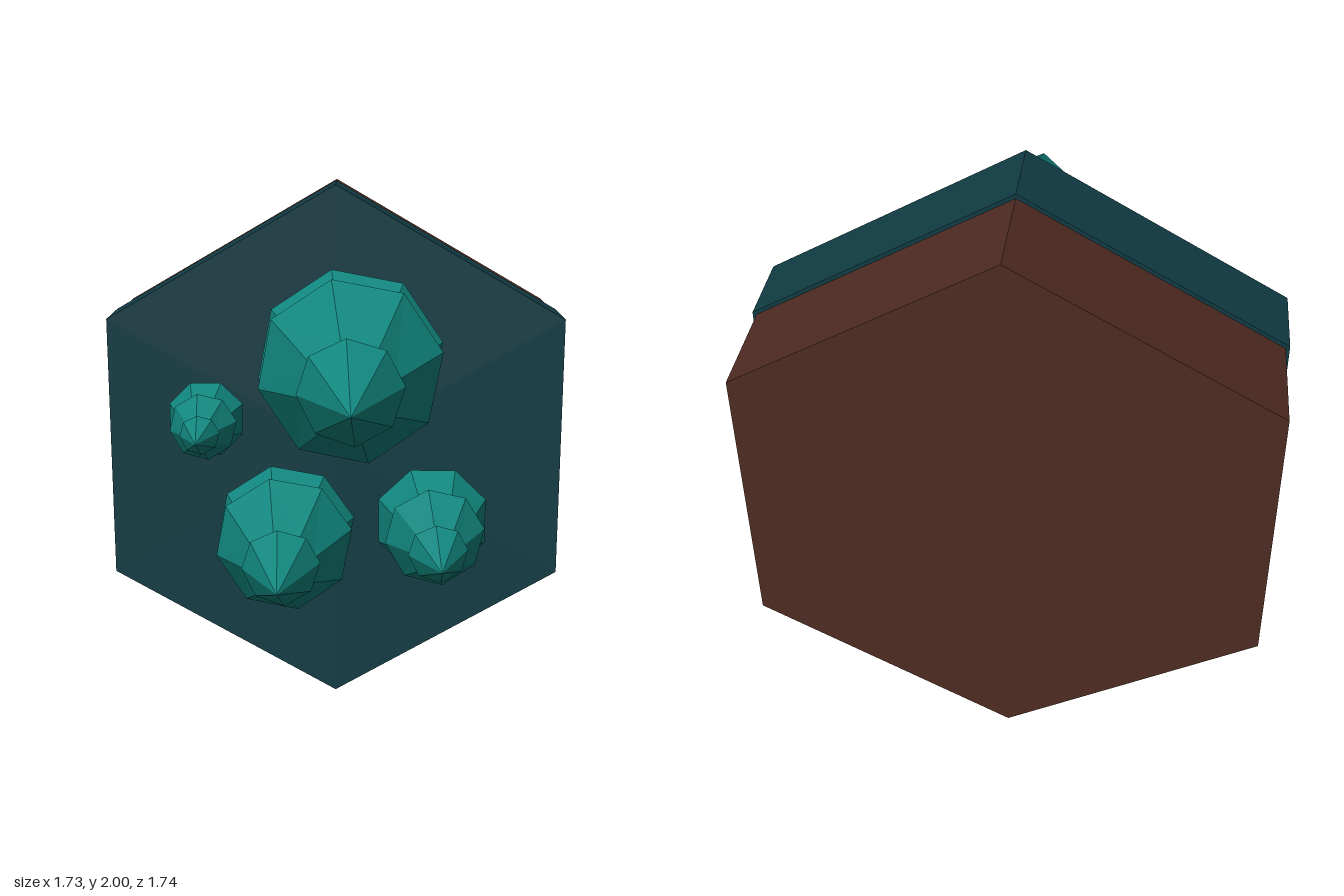
import * as THREE from 'three';

const foliage = new THREE.MeshStandardMaterial({ color: 0x11877f });
const turf = new THREE.MeshStandardMaterial({ color: 0x103c44 });
const bark = new THREE.MeshStandardMaterial({ color: 0x4e2b22 });
foliage.name = 'foliage teal';
turf.name = 'turf dark teal';
bark.name = 'earth brown';

// Faceted mesh: every triangle gets its own normal
function facet(name, geometry, material) {
  const g = geometry.toNonIndexed();
  g.computeVertexNormals();
  const mesh = new THREE.Mesh(g, material);
  mesh.name = name;
  return mesh;
}

// Tiers for a tree of height 1, tip first: rim radius, rim height, lip radius, lip height
const BROAD = [[0.165, 0.655, 0.142, 0.628], [0.303, 0.335, 0.25, 0.285], [0.313, 0.155, 0.28, 0.105]];
const SLIM = [[0.152, 0.69, 0.118, 0.66], [0.262, 0.41, 0.215, 0.375], [0.312, 0.13, 0.27, 0.085]];

// Eight-sided skirt with a bevelled lip, a hollowed underside and a gently warped rim
function tier([r, h, lipR, lipH], startR, startH, turn) {
  const profile = [[0.04, lipH + 0.03], [lipR, lipH], [r, h], [startR, startH]];
  const g = new THREE.LatheGeometry(profile.map(([x, y]) => new THREE.Vector2(x, y)), 8);
  g.rotateY(turn);
  const p = g.attributes.position;
  for (let i = 0; i < p.count; i++) {
    const x = p.getX(i), z = p.getZ(i);
    if (Math.hypot(x, z) > 0.1) p.setY(i, p.getY(i) + 0.018 * Math.cos(2 * Math.atan2(x, z)));
  }
  return facet('foliageTier', g, foliage);
}

function tree(name, x, y, height, tiers, turns) {
  const group = new THREE.Group();
  group.name = name;
  const trunk = facet('trunk', new THREE.CylinderGeometry(0.066, 0.084, 0.18, 8), bark);
  trunk.position.y = 0.085;
  group.add(trunk);
  tiers.forEach((t, i) => {
    const above = tiers[i - 1];
    group.add(above
      ? tier(t, above[2] - 0.004, above[3] + 0.018, turns[i])
      : tier(t, 0, 1, turns[i]));
  });
  group.scale.setScalar(height);
  group.position.set(x, -0.24, 1 - y);
  return group;
}

// Six-sided slab between two heights
function slab(name, radius, bottom, top, material) {
  const mesh = facet(name, new THREE.CylinderGeometry(radius, radius, top - bottom, 6), material);
  mesh.position.y = (bottom + top) / 2;
  return mesh;
}

export function createModel() {
  const tile = new THREE.Group();
  tile.name = 'forestTile';
  tile.add(
    slab('turfSlab', 1, -0.51, -0.24, turf),
    slab('earthSlab', 0.985, -0.87, -0.51, bark),
    tree('largeTree', 0.055, 1.37, 1.11, BROAD, [0.08, 0.2, 0.2]),
    tree('mediumTree', -0.19, 0.705, 0.85, BROAD, [0.08, 0.2, 0.2]),
    tree('smallTree', 0.37, 0.735, 0.71, SLIM, [0.1, 0.15, Math.PI / 8]),
    tree('tinyTree', -0.49, 1.13, 0.48, SLIM, [0.1, 0.15, Math.PI / 8]),
  );
  // The tile stands on its edge with the trees facing forward
  tile.rotation.x = Math.PI / 2;
  tile.position.y = 1;
  const model = new THREE.Group();
  model.name = 'model';
  model.add(tile);
  return model;
}
